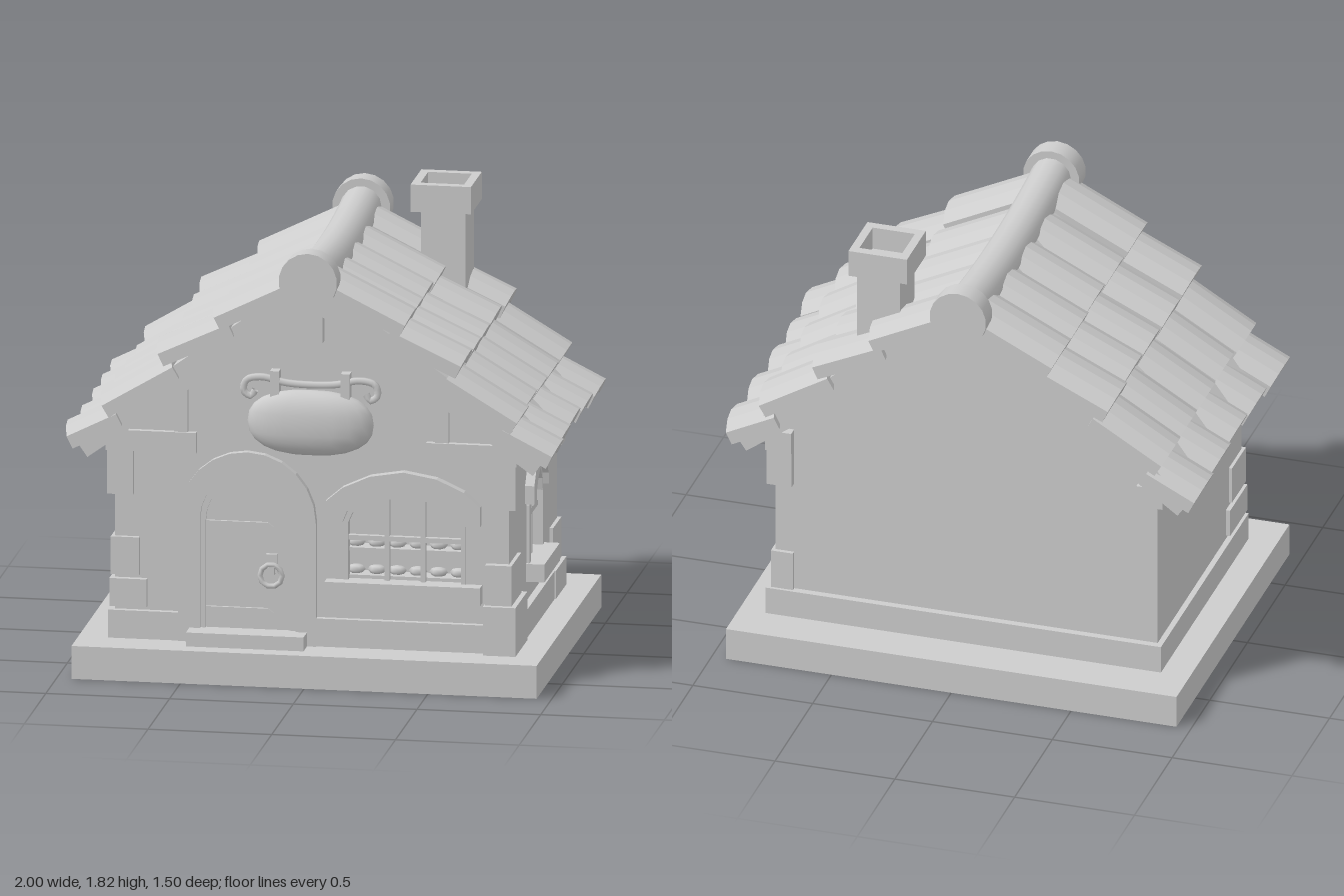
import * as THREE from 'three';

const stone = new THREE.MeshStandardMaterial({ color: 0xcccccc, side: THREE.DoubleSide });
stone.name = 'plain grey';

export function createModel() {
  const root = new THREE.Group();
  root.name = 'cottageShop';

  const add = (name, geo, x = 0, y = 0, z = 0, parent = root) => {
    const m = new THREE.Mesh(geo, stone);
    m.name = name;
    m.position.set(x, y, z);
    parent.add(m);
    return m;
  };
  const box = (name, x0, x1, y0, y1, z0, z1, parent = root) =>
    add(name, new THREE.BoxGeometry(x1 - x0, y1 - y0, z1 - z0),
      (x0 + x1) / 2, (y0 + y1) / 2, (z0 + z1) / 2, parent);
  const poly = (pts) => new THREE.Shape(pts.map((p) => new THREE.Vector2(p[0], p[1])));
  const slab = (name, shape, z0, z1, parent = root) =>
    add(name, new THREE.ExtrudeGeometry(shape, { depth: z1 - z0, bevelEnabled: false }), 0, 0, z0, parent);

  // Arch outline from left foot to right foot
  const arch = (cx, hw, y0, spring, top, n = 8) => {
    const pts = [[cx - hw, y0]];
    for (let i = 0; i <= n; i++) {
      const a = Math.PI * (1 - i / n);
      pts.push([cx + hw * Math.cos(a), spring + (top - spring) * Math.sin(a)]);
    }
    pts.push([cx + hw, y0]);
    return pts;
  };
  const archBand = (outer, inner) => poly([...outer, ...inner.slice().reverse()]);

  // Base, open underneath
  const baseGeo = new THREE.BoxGeometry(1.88, 0.135, 1.5);
  const idx = Array.from(baseGeo.index.array);
  idx.splice(18, 6);
  baseGeo.setIndex(idx);
  baseGeo.clearGroups();
  add('base', baseGeo, 0, 0.0675, 0);

  // Walls: front gable with window opening, core, back gable, right side wall with opening
  const gable = (x0, x1) => poly([[x0, 0.135], [x1, 0.135], [x1, 1.56 - 0.724 * x1], [0, 1.56], [x0, 1.56 + 0.724 * x0]]);
  const frontShape = gable(-0.797, 0.797);
  frontShape.holes.push(poly(arch(0.375, 0.245, 0.41, 0.655, 0.775)));
  slab('frontWall', frontShape, 0.46, 0.565);
  slab('houseCore', gable(-0.797, 0.7), -0.45, 0.46);
  slab('backWall', gable(-0.797, 0.797), -0.545, -0.45);

  const sideGroup = new THREE.Group();
  sideGroup.name = 'sideWindowWall';
  sideGroup.rotation.y = Math.PI / 2; // local x = -z, local z = x
  root.add(sideGroup);
  const sideShape = poly([[-0.46, 0.135], [0.45, 0.135], [0.45, 0.98], [-0.46, 0.98]]);
  sideShape.holes.push(poly(arch(0, 0.145, 0.405, 0.63, 0.78)));
  slab('sideWall', sideShape, 0.7, 0.797, sideGroup);

  // Plinth around the foot of the walls, stopping at the doorway
  box('plinthBack', -0.82, 0.825, 0.135, 0.25, -0.575, -0.54);
  box('plinthLeft', 0.79, 0.825, 0.135, 0.25, -0.575, 0.59);
  box('plinthRight', -0.82, -0.79, 0.135, 0.25, -0.575, 0.59);
  box('plinthFrontA', -0.82, -0.5, 0.135, 0.25, 0.56, 0.59);
  box('plinthFrontB', -0.02, 0.825, 0.135, 0.25, 0.56, 0.59);

  // Corner stones
  [
    [0.7, 0.832, 0.135, 0.335, 0.345, 0.622],
    [0.705, 0.812, 0.335, 0.5, 0.37, 0.598],
    [-0.81, -0.695, 0.395, 0.55, 0.4, 0.585],
    [-0.815, -0.665, 0.265, 0.38, 0.36, 0.59],
    [0.72, 0.83, 0.135, 0.25, -0.575, -0.33],
    [0.72, 0.812, 0.25, 0.415, -0.562, -0.37],
  ].forEach((b) => box('cornerStone', ...b));

  // Eave brackets and gable timbers
  for (const s of [-1, 1]) {
    const bx = (name, a, b, ...rest) => box(name, Math.min(s * a, s * b), Math.max(s * a, s * b), ...rest);
    bx('frontBracket', 0.72, 0.825, 0.725, 0.905, 0.495, 0.585);
    bx('frontTieBeam', 0.465, 0.83, 0.905, 0.99, 0.5, 0.59);
    bx('gablePost', 0.5, 0.555, 0.99, 1.18, 0.55, 0.58);
    bx('backBeamEnd', 0.72, 0.83, 0.88, 0.97, -0.585, -0.495);
  }
  box('backBracket', 0.72, 0.825, 0.725, 0.905, -0.58, -0.495);
  box('ridgeBeamEnd', -0.05, 0.05, 1.385, 1.56, 0.55, 0.61);

  // Door with arched surround
  const doorOuter = arch(-0.257, 0.278, 0.135, 0.64, 0.922, 12);
  const doorInner = arch(-0.255, 0.193, 0.135, 0.64, 0.835, 12);
  const doorLeaf = arch(-0.255, 0.172, 0.135, 0.63, 0.812, 12);
  slab('doorSurround', archBand(doorOuter, doorInner), 0.55, 0.597);
  slab('doorFrame', archBand(doorInner, doorLeaf), 0.55, 0.583);
  slab('doorLeaf', poly(doorLeaf), 0.55, 0.572);
  box('doorStep', -0.49, -0.015, 0.135, 0.192, 0.55, 0.678);
  for (const y of [0.262, 0.615]) {
    slab('hingeStrap', poly([[-0.425, y - 0.018], [-0.175, y - 0.018], [-0.152, y], [-0.175, y + 0.018], [-0.425, y + 0.018]]), 0.57, 0.584);
  }
  box('knockerPlate', -0.182, -0.138, 0.43, 0.505, 0.57, 0.59);
  box('knockerPin', -0.175, -0.145, 0.425, 0.455, 0.58, 0.61);
  add('knockerRing', new THREE.TorusGeometry(0.045, 0.011, 6, 10), -0.16, 0.42, 0.597);

  // Front window: hood, frame, bars, shelf with loaves, sill
  const fwHole = arch(0.375, 0.245, 0.655, 0.655, 0.775);
  slab('windowHood', archBand(
    [[0.06, 0.655], [0.06, 0.735], [0.13, 0.795], [0.24, 0.845], [0.375, 0.868], [0.51, 0.845], [0.62, 0.795], [0.685, 0.735], [0.685, 0.655]],
    fwHole), 0.55, 0.605);
  slab('windowFrame', archBand(arch(0.375, 0.247, 0.41, 0.655, 0.777), arch(0.375, 0.228, 0.41, 0.645, 0.752)), 0.53, 0.572);
  box('windowSill', 0.06, 0.688, 0.335, 0.41, 0.55, 0.622);
  for (const x of [0.302, 0.448]) box('windowBar', x - 0.01, x + 0.01, 0.41, 0.76, 0.54, 0.562);
  box('windowCrossBar', 0.13, 0.62, 0.572, 0.592, 0.54, 0.562);
  for (const y of [0.41, 0.522]) {
    box('shelf', 0.13, 0.62, y, y + 0.014, 0.46, 0.54);
    for (let i = 0; i < 6; i++) {
      const loaf = add('loaf', new THREE.SphereGeometry(1, 6, 4), 0.168 + i * 0.083, y + 0.03, 0.5);
      loaf.scale.set(0.038, 0.02, 0.032);
    }
  }

  // Side window
  const swHole = arch(0, 0.145, 0.655, 0.655, 0.78);
  slab('sideHood', archBand(
    [[-0.198, 0.655], [-0.198, 0.73], [-0.13, 0.815], [-0.06, 0.85], [0, 0.86], [0.06, 0.85], [0.13, 0.815], [0.198, 0.73], [0.198, 0.655]],
    swHole), 0.78, 0.835, sideGroup);
  slab('sideJambs', archBand(arch(0, 0.167, 0.405, 0.64, 0.79), arch(0, 0.14, 0.405, 0.63, 0.765)), 0.76, 0.81, sideGroup);
  box('sideMullion', -0.012, 0.012, 0.405, 0.775, 0.765, 0.79, sideGroup);
  box('sideCrossBar', -0.145, 0.145, 0.568, 0.592, 0.765, 0.79, sideGroup);
  box('sideSill', -0.18, 0.18, 0.332, 0.405, 0.78, 0.872, sideGroup);

  // Hanging sign: swollen board on a curled iron bar
  const signGeo = new THREE.SphereGeometry(1, 20, 12);
  const p = signGeo.attributes.position;
  for (let i = 0; i < p.count; i++) { // square the oval off slightly
    const x = p.getX(i), y = p.getY(i);
    p.setXY(i, Math.sign(x) * Math.abs(x) ** 0.8, Math.sign(y) * Math.abs(y) ** 0.85);
  }
  signGeo.scale(0.255, 0.133, 0.075);
  signGeo.computeVertexNormals();
  add('signBoard', signGeo, 0, 1.055, 0.595);
  const barPts = [[-0.225, 1.18], [-0.24, 1.155], [-0.27, 1.175], [-0.26, 1.22], [-0.2, 1.235], [-0.1, 1.215], [0, 1.21]];
  const fullBar = [...barPts, ...barPts.slice(0, -1).reverse().map(([x, y]) => [-x, y])];
  add('signBar', new THREE.TubeGeometry(
    new THREE.CatmullRomCurve3(fullBar.map(([x, y]) => new THREE.Vector3(x, y, 0.595))), 48, 0.015, 6));
  for (const x of [-0.143, 0.143]) {
    box('signStrap', x - 0.018, x + 0.018, 1.13, 1.265, 0.57, 0.618);
    box('signBarMount', x - 0.012, x + 0.012, 1.2, 1.235, 0.555, 0.6);
  }

  // Roof deck
  const half = [[0.9, 0.878], [0.95, 0.95], [0.6, 1.232], [0.05, 1.63]];
  slab('roofDeck', poly([[0, 1.53], ...half, ...half.slice().reverse().map(([x, y]) => [-x, y])]), -0.61, 0.61);

  // Tiles: lower end and upper end of each row, curved across their width
  const rows = [
    [1.0, 1.0, 0.8, 1.1],
    [0.865, 1.135, 0.58, 1.305],
    [0.635, 1.352, 0.35, 1.485],
    [0.405, 1.515, 0.05, 1.69],
  ];
  const seams = [-0.635, -0.375, -0.122, 0.122, 0.37, 0.63];
  const tiles = new THREE.Group();
  tiles.name = 'roofTiles';
  root.add(tiles);
  for (const s of [-1, 1]) {
    rows.forEach(([x0, y0, x1, y1], r) => {
      for (let c = 0; c < 5; c++) {
        const zc = (seams[c] + seams[c + 1]) / 2, hw = (seams[c + 1] - seams[c]) / 2;
        const top = [-1, -0.5, 0, 0.5, 1].map((u) => [u * hw, -0.04 * u * u]);
        const shape = poly([...top, ...top.slice().reverse().map(([u, v]) => [u, v - 0.055])]);
        const len = Math.hypot(x1 - x0, y1 - y0);
        const geo = new THREE.ExtrudeGeometry(shape, { depth: len, bevelEnabled: false });
        const up = new THREE.Vector3(s * (x1 - x0), y1 - y0, 0).normalize();
        const normal = new THREE.Vector3(s * up.y, Math.abs(up.x), 0);
        const across = new THREE.Vector3().crossVectors(normal, up);
        geo.applyMatrix4(new THREE.Matrix4().makeBasis(across, normal, up));
        const sag = 1 - (zc / 0.52) ** 2; // rows dip toward the middle of the roof
        const jog = ((c * 7 + r * 5) % 3 - 1) * 0.004;
        add('tile', geo, s * (x0 - 0.015 * sag - Math.abs(jog)), y0 - 0.008 * r * sag + jog, zc, tiles);
      }
    });
  }

  // Sagging ridge roll with round end caps
  add('ridgeRoll', new THREE.TubeGeometry(new THREE.QuadraticBezierCurve3(
    new THREE.Vector3(0, 1.655, 0.62), new THREE.Vector3(0, 1.575, 0), new THREE.Vector3(0, 1.655, -0.62)), 12, 0.083, 14));
  for (const z of [-0.62, 0.62]) {
    add('ridgeCap', new THREE.CylinderGeometry(0.118, 0.118, 0.088, 18), 0, 1.647, z).rotation.x = Math.PI / 2;
  }

  // Chimney with hollow cap
  box('chimneyShaft', 0.285, 0.465, 1.3, 1.725, -0.525, -0.33);
  const capShape = poly([[-0.122, -0.126], [0.122, -0.126], [0.122, 0.126], [-0.122, 0.126]]);
  capShape.holes.push(poly([[-0.088, -0.088], [0.088, -0.088], [0.088, 0.088], [-0.088, 0.088]]));
  add('chimneyCap', new THREE.ExtrudeGeometry(capShape, { depth: 0.112, bevelEnabled: false }), 0.37, 1.708, -0.424)
    .rotation.x = -Math.PI / 2;

  return root;
}
